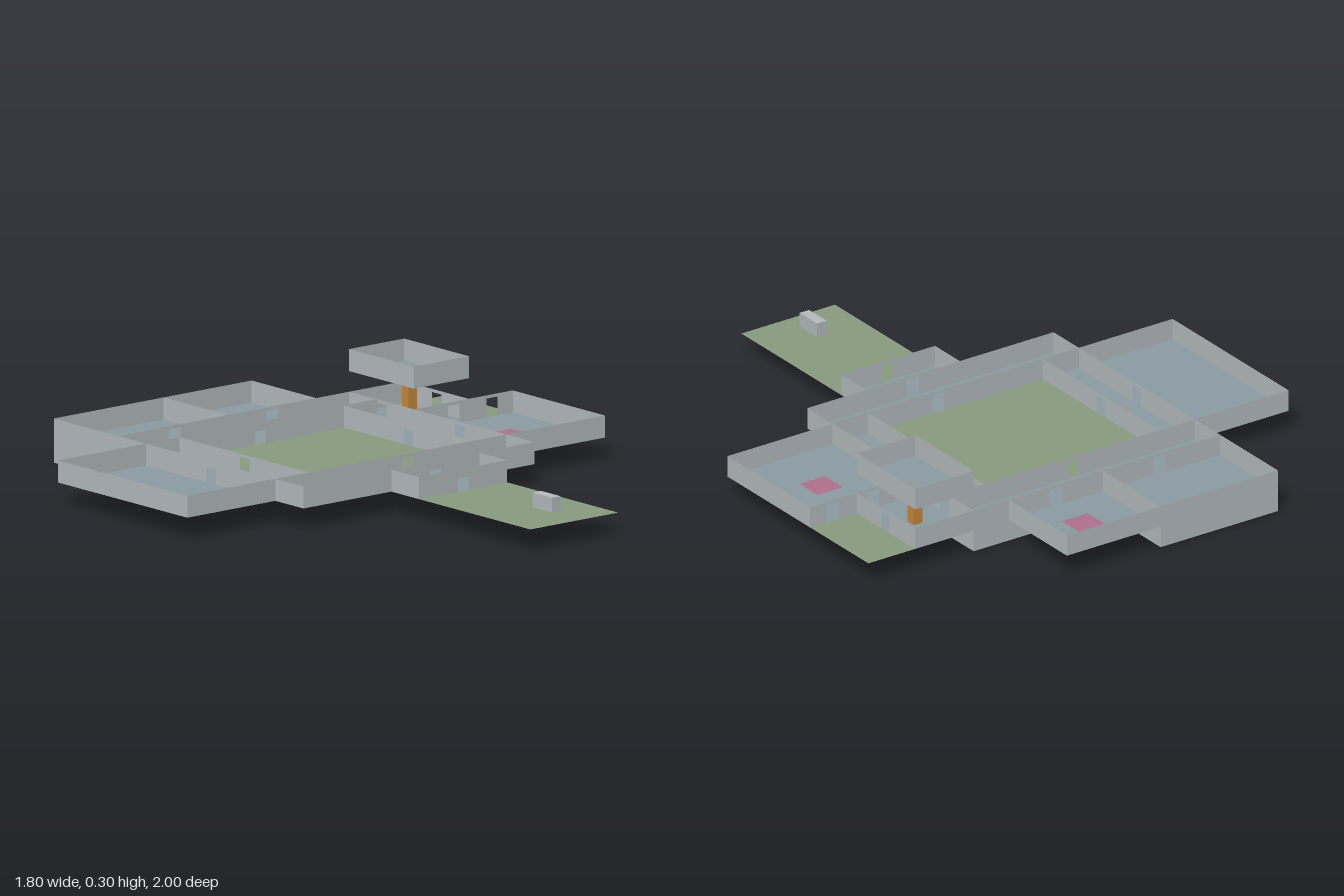
import * as THREE from 'three';

const mat = (color) => new THREE.MeshStandardMaterial({ color, side: THREE.DoubleSide });
const WALL = mat(0xb4bcbf), FLOOR = mat(0x8c9ca4), GRASS = mat(0x8a9c80), ORANGE = mat(0xc88a3c), PINK = mat(0xb0708f);
const LOW = 0, MID = 0.075, HIGH = 0.22, H = 0.075;

export function createModel() {
  const group = new THREE.Group();

  function add(name, geometry, material) {
    const mesh = new THREE.Mesh(geometry, material);
    mesh.name = name;
    group.add(mesh);
    return mesh;
  }

  // Flat slab covering a rectangle in x and z
  function floor(name, x0, x1, z0, z1, y, material = FLOOR) {
    const g = new THREE.PlaneGeometry(x1 - x0, z1 - z0).rotateX(-Math.PI / 2);
    add(name, g, material).position.set((x0 + x1) / 2, y, (z0 + z1) / 2);
  }

  // Thin upright wall along x (at = z) or along z (at = x), with doorways centred at the given positions
  function wall(name, axis, at, from, to, y, doors = []) {
    const s = new THREE.Shape();
    s.moveTo(from, 0);
    for (const d of doors) {
      s.lineTo(d - 0.024, 0);
      s.lineTo(d - 0.024, 0.064);
      s.lineTo(d + 0.024, 0.064);
      s.lineTo(d + 0.024, 0);
    }
    s.lineTo(to, 0);
    s.lineTo(to, H);
    s.lineTo(from, H);
    const g = new THREE.ShapeGeometry(s);
    if (axis === 'z') g.rotateY(-Math.PI / 2);
    const m = add(name, g, WALL);
    m.position.set(axis === 'z' ? at : 0, y, axis === 'x' ? at : 0);
  }

  // Main storey floors
  floor('courtyardLawn', -0.38, 0.33, -0.525, 0.14, MID, GRASS);
  floor('frontCorridorFloor', -0.525, 0.473, 0.14, 0.285, MID);
  floor('rightCorridorFloor', -0.525, -0.38, -0.525, 0.14, MID);
  floor('leftCorridorFloor', 0.33, 0.473, -0.525, 0.14, MID);
  floor('backCorridorFloor', -0.525, 0.473, -0.668, -0.525, MID);
  floor('rightHallFloor', -0.905, -0.525, -0.525, 0.14, MID);
  floor('backRightRoomFloor', -0.525, -0.05, -1, -0.668, MID);
  floor('backLeftRoomFloor', -0.05, 0.33, -1, -0.668, MID);
  floor('shaftRoomFloor', 0.473, 0.71, -0.668, -0.335, MID);
  floor('leftRoomFloor', 0.473, 0.9, -0.335, 0.14, MID);
  floor('porchFloor', -0.145, 0.235, 0.285, 0.427, MID);
  floor('sideLawn', 0.71, 0.9, -0.668, -0.335, MID, GRASS);
  floor('frontLawn', -0.145, 0.235, 0.427, 1, MID, GRASS);

  // Main storey walls running along x
  const alongX = [
    ['backWall', -1, -0.525, 0.33],
    ['backCorridorOuterWall', -0.668, -0.525, 0.71, [-0.28, 0.14]],
    ['backCorridorInnerWall', -0.525, -0.525, 0.473, [-0.03]],
    ['rightHallBackWall', -0.525, -0.905, -0.525],
    ['leftRoomBackWall', -0.335, 0.473, 0.9, [0.645, 0.81]],
    ['frontCorridorInnerWall', 0.14, -0.525, 0.473, [0.045]],
    ['rightHallFrontWall', 0.14, -0.905, -0.525],
    ['leftRoomFrontWall', 0.14, 0.473, 0.9],
    ['frontCorridorOuterWall', 0.285, -0.525, 0.473, [0.045]],
    ['porchFrontWall', 0.427, -0.145, 0.235, [0.045]],
  ];
  for (const [n, at, a, b, doors] of alongX) wall(n, 'x', at, a, b, MID, doors);

  // Main storey walls running along z
  const alongZ = [
    ['rightHallOuterWall', -0.905, -0.525, 0.14],
    ['rightCorridorOuterWall', -0.525, -1, 0.285, [-0.19]],
    ['rightCorridorInnerWall', -0.38, -0.525, 0.14, [-0.19]],
    ['backRoomDivider', -0.05, -1, -0.668],
    ['backLeftRoomWall', 0.33, -1, -0.668],
    ['leftCorridorInnerWall', 0.33, -0.525, 0.14, [-0.19]],
    ['leftCorridorOuterWall', 0.473, -0.668, 0.285, [-0.5, -0.1]],
    ['shaftRoomOuterWall', 0.71, -0.668, -0.335, [-0.5]],
    ['leftRoomOuterWall', 0.9, -0.335, 0.14],
    ['porchRightWall', -0.145, 0.285, 0.427],
    ['porchLeftWall', 0.235, 0.285, 0.427],
  ];
  for (const [n, at, a, b, doors] of alongZ) wall(n, 'z', at, a, b, MID, doors);

  // Basement: a room and a corridor under the back of the building
  floor('basementRoomFloor', -0.525, -0.05, -1, -0.668, LOW);
  floor('basementCorridorFloor', -0.525, 0.473, -0.668, -0.525, LOW);
  wall('basementBackWall', 'x', -1, -0.525, -0.05, LOW);
  wall('basementCorridorBackWall', 'x', -0.668, -0.525, 0.473, LOW, [-0.28]);
  wall('basementFrontWall', 'x', -0.525, -0.525, 0.473, LOW, [-0.08]);
  wall('basementRightWall', 'z', -0.525, -1, -0.525, LOW);
  wall('basementRoomLeftWall', 'z', -0.05, -1, -0.668, LOW);
  wall('basementCorridorEndWall', 'z', 0.473, -0.668, -0.525, LOW);

  // Upper room carried on the lift shaft
  floor('upperRoomFloor', 0.473, 0.71, -0.668, -0.335, HIGH);
  for (const z of [-0.668, -0.335]) wall('upperRoomWall', 'x', z, 0.473, 0.71, HIGH);
  for (const x of [0.473, 0.71]) wall('upperRoomWall', 'z', x, -0.668, -0.335, HIGH);
  add('liftShaft', new THREE.BoxGeometry(0.036, HIGH - MID, 0.036), ORANGE)
    .position.set(0.592, (HIGH + MID) / 2, -0.5);

  // Sloping ramp from the right corridor down to the basement corridor
  const top = new THREE.Vector3(-0.46, 0.076, -0.19), foot = new THREE.Vector3(-0.03, 0.003, -0.605);
  const ramp = add('ramp', new THREE.BoxGeometry(0.045, 0.003, top.distanceTo(foot)), ORANGE);
  ramp.position.copy(top).add(foot).multiplyScalar(0.5);
  ramp.lookAt(foot);

  // Floor tiles and the block on the front lawn
  floor('backRoomTile', 0.09, 0.195, -0.885, -0.78, MID + 0.002, PINK);
  floor('leftRoomTile', 0.637, 0.74, -0.15, -0.047, MID + 0.002, PINK);
  add('lawnBlock', new THREE.BoxGeometry(0.038, 0.05, 0.1), WALL).position.set(0.045, 0.115, 0.857);

  return group;
}
